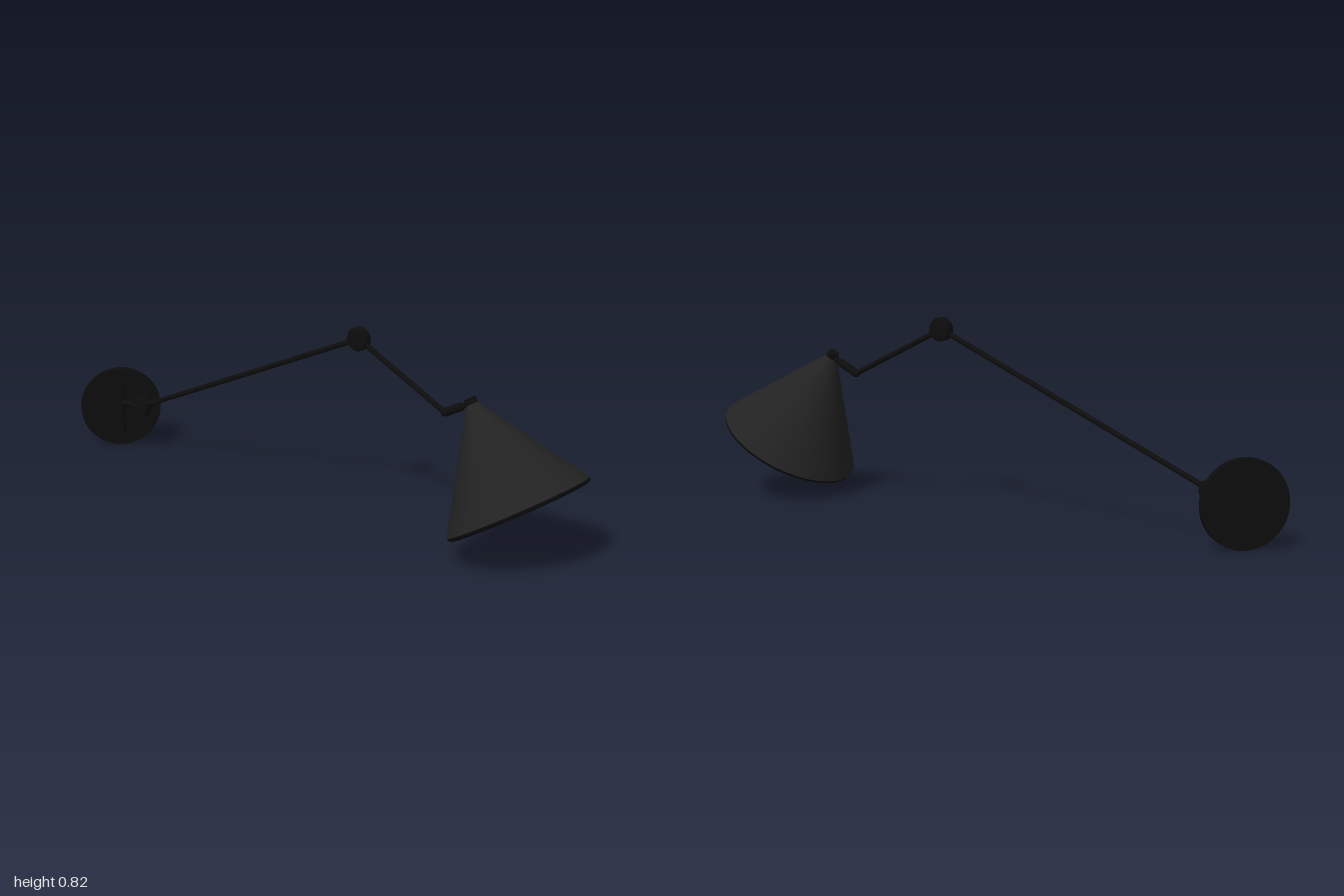
import * as THREE from 'three';

const V = (x, y, z) => new THREE.Vector3(x, y, z);
const UP = V(0, 1, 0);

export function createModel() {
  const lamp = new THREE.Group();
  lamp.name = 'wallLamp';
  const black = new THREE.MeshStandardMaterial({ color: 0x0d0d0d });
  const charcoal = new THREE.MeshStandardMaterial({ color: 0x222222 });
  const lining = new THREE.MeshStandardMaterial({ color: 0xcccccc });

  const add = (name, geometry, material = black, parent = lamp) => {
    const mesh = new THREE.Mesh(geometry, material);
    mesh.name = name;
    parent.add(mesh);
    return mesh;
  };

  // Round bar between two points
  const rod = (name, a, b, radius, sides = 24) => {
    const dir = b.clone().sub(a);
    const mesh = add(name, new THREE.CylinderGeometry(radius, radius, dir.length(), sides));
    mesh.position.copy(a).add(b).multiplyScalar(0.5);
    mesh.quaternion.setFromUnitVectors(UP, dir.normalize());
    return mesh;
  };

  // Disc knob with eased edges, its axis level and square to the arm
  const hinge = V(0.725, 0, -0.69).normalize();
  const knob = (name, centre, r, h) => {
    const e = 0.006;
    const profile = [[0, -h], [r - e, -h], [r, -h + e], [r, h - e], [r - e, h], [0, h]]
      .map(([x, y]) => new THREE.Vector2(x, y));
    const mesh = add(name, new THREE.LatheGeometry(profile, 32));
    mesh.position.copy(centre);
    mesh.quaternion.setFromUnitVectors(UP, hinge);
  };

  // Wall plate, upright post and its two standoffs
  const px = -0.818, py = 0.183;
  rod('wallPlate', V(px, py, -0.98), V(px, py, -0.95), 0.183, 64);
  rod('post', V(px, py - 0.122, -0.92), V(px, py + 0.122, -0.92), 0.018);
  for (const s of [-1, 1]) {
    rod('standoff', V(px, py + s * 0.095, -0.955), V(px, py + s * 0.095, -0.92), 0.012);
  }

  // Jointed arm
  const shoulder = V(-0.727, 0.215, -0.845);
  const elbow = V(0.147, 0.775, 0.084);
  const wrist = V(0.45, 0.553, 0.418);
  const apex = V(0.54, 0.62, 0.513);
  const side = hinge.clone().multiplyScalar(0.01);
  rod('swivelStub', V(px, 0.215, -0.92), shoulder.clone().sub(side), 0.013);
  knob('shoulderKnob', shoulder, 0.05, 0.021);
  rod('lowerArm', shoulder, elbow, 0.0115);
  knob('elbowKnob', elbow, 0.05, 0.021);
  rod('upperArm', elbow, wrist, 0.0115);
  add('wristBall', new THREE.SphereGeometry(0.0165, 20, 14)).position.copy(wrist);
  rod('shadeSleeve', wrist, wrist.clone().lerp(apex, 0.62), 0.018);
  rod('shadePin', wrist, apex, 0.012);

  // Tilted shade, built along its own axis with the tip at the origin
  const shade = new THREE.Group();
  shade.name = 'shade';
  shade.position.copy(apex);
  shade.quaternion.setFromUnitVectors(UP, V(-0.36, 0.86, -0.36).normalize());
  lamp.add(shade);
  const turned = (name, points, material) => add(name,
    new THREE.LatheGeometry(points.map(([x, y]) => new THREE.Vector2(x, y)), 72), material, shade);
  turned('shadeOuter', [[0.31, -0.455], [0.022, 0]], charcoal);
  turned('shadeRim', [[0.272, -0.452], [0.28, -0.466], [0.296, -0.472], [0.307, -0.466], [0.31, -0.455]], black);
  turned('shadeLining', [[0, -0.04], [0.02, -0.045], [0.272, -0.452]], lining);

  // Cap at the tip
  add('shadeCap', new THREE.CylinderGeometry(0.025, 0.025, 0.04, 32), black, shade).position.y = 0.002;

  // Bulb and holder inside the shade
  add('bulbHolder', new THREE.CylinderGeometry(0.03, 0.03, 0.22, 32), black, shade).position.y = -0.19;
  add('bulb', new THREE.SphereGeometry(0.09, 40, 28), black, shade).position.y = -0.34;

  return lamp;
}
